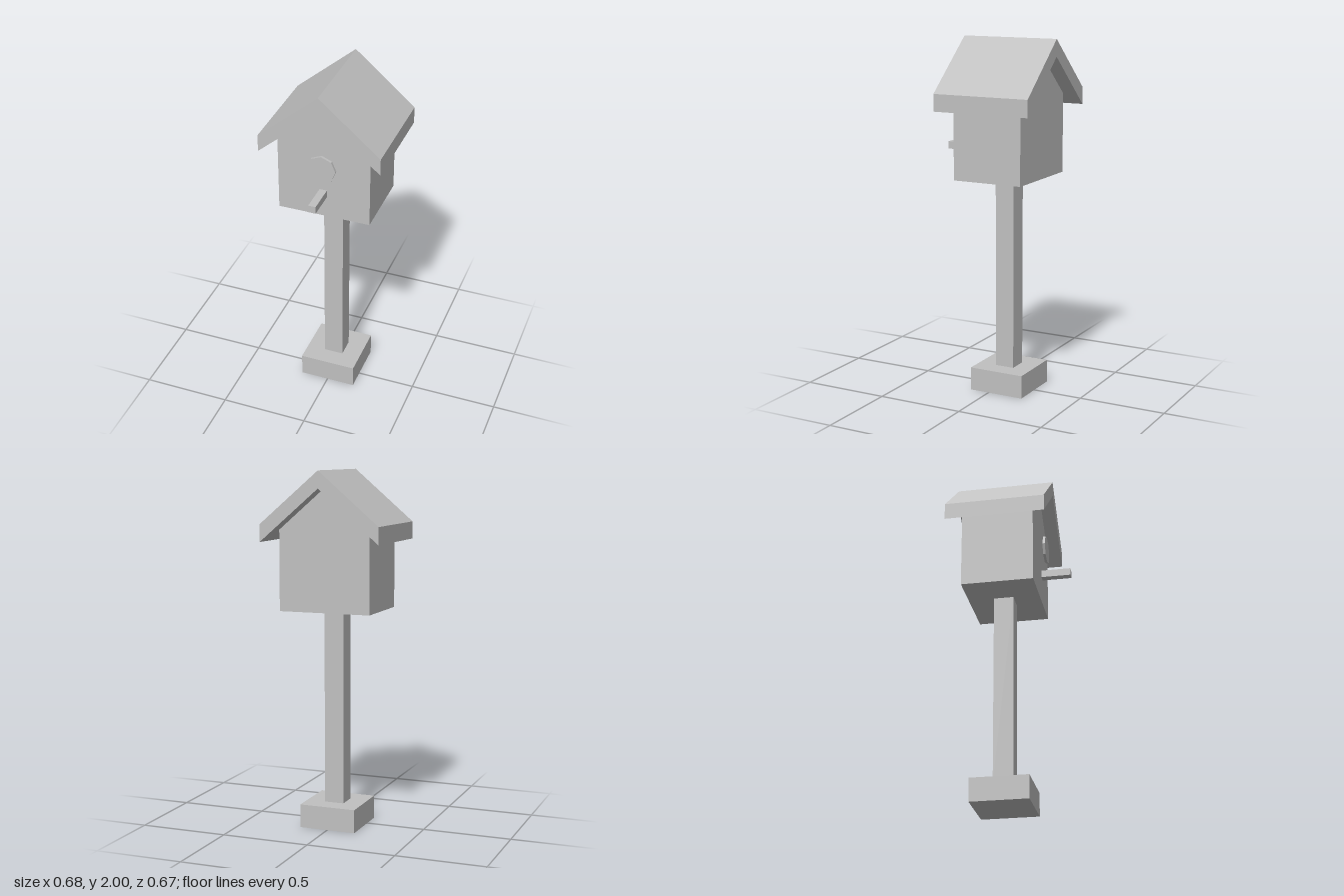
import * as THREE from 'three';

export function createModel() {
  const model = new THREE.Group();
  const grey = new THREE.MeshStandardMaterial({ color: 0xc0c0c0 });
  grey.name = 'grey';

  const add = (name, geometry) => {
    const mesh = new THREE.Mesh(geometry, grey);
    mesh.name = name;
    model.add(mesh);
    return mesh;
  };

  // Box given by its width and its y and z limits, centred on x = 0
  const box = (name, width, y0, y1, z0, z1) =>
    add(name, new THREE.BoxGeometry(width, y1 - y0, z1 - z0))
      .position.set(0, (y0 + y1) / 2, (z0 + z1) / 2);

  // Outline in the xy plane, extruded from z0 to z1
  const prism = (name, points, z0, z1) => {
    const shape = new THREE.Shape(points.map(([x, y]) => new THREE.Vector2(x, y)));
    const geometry = new THREE.ExtrudeGeometry(shape, { depth: z1 - z0, bevelEnabled: false });
    add(name, geometry).position.z = z0;
  };

  // Stand
  box('base', 0.325, 0, 0.132, -0.21, 0.114);
  box('post', 0.112, 0.132, 1.23, -0.103, 0.009);

  // Gabled house body
  prism('house', [[-0.262, 1.23], [0.262, 1.23], [0.262, 1.677], [0, 1.902], [-0.262, 1.677]],
    -0.25, 0.158);

  // Overhanging chevron roof
  prism('roof', [[-0.342, 1.613], [0, 1.905], [0.342, 1.613], [0.342, 1.709], [0, 2], [-0.342, 1.709]],
    -0.333, 0.235);

  // Octagonal entrance disc, standing just off the wall
  const disc = add('entrance', new THREE.CylinderGeometry(0.081, 0.081, 0.014, 8).toNonIndexed());
  disc.geometry.computeVertexNormals();
  disc.rotation.x = Math.PI / 2;
  disc.position.set(0, 1.546, 0.19);

  // Perch
  box('perch', 0.042, 1.36, 1.402, 0.166, 0.333);

  return model;
}
